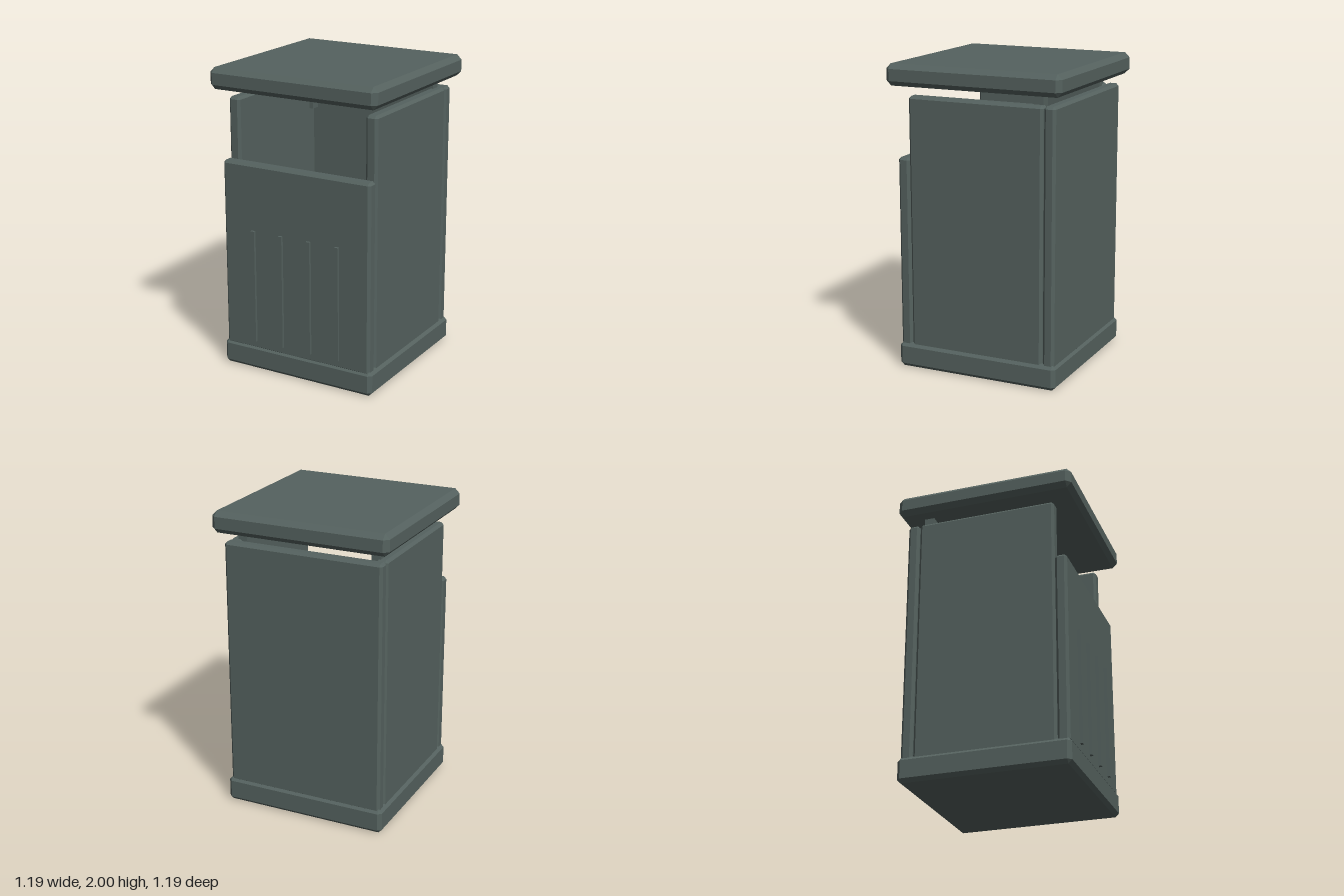
import * as THREE from 'three';
import { ConvexGeometry } from 'three/addons/geometries/ConvexGeometry.js';

const material = new THREE.MeshStandardMaterial({ color: 0x55625f, flatShading: true });

// Box between two corners with every edge cut at 45 degrees by c
function chamferedBox(name, min, max, c) {
  const lo = new THREE.Vector3(...min), hi = new THREE.Vector3(...max);
  const h = hi.clone().sub(lo).multiplyScalar(0.5);
  const points = [];
  for (const x of [-1, 1]) for (const y of [-1, 1]) for (const z of [-1, 1]) {
    points.push(
      new THREE.Vector3(x * h.x, y * (h.y - c), z * (h.z - c)),
      new THREE.Vector3(x * (h.x - c), y * h.y, z * (h.z - c)),
      new THREE.Vector3(x * (h.x - c), y * (h.y - c), z * h.z));
  }
  const mesh = new THREE.Mesh(new ConvexGeometry(points), material);
  mesh.position.copy(lo).add(hi).multiplyScalar(0.5);
  mesh.name = name;
  return mesh;
}

function plainBox(name, min, max) {
  const [w, h, d] = max.map((v, i) => v - min[i]);
  const mesh = new THREE.Mesh(new THREE.BoxGeometry(w, h, d), material);
  mesh.position.set(...max.map((v, i) => (v + min[i]) / 2));
  mesh.name = name;
  return mesh;
}

export function createModel() {
  const bin = new THREE.Group();
  bin.name = 'litterBin';

  // Plinth and overhanging lid
  bin.add(chamferedBox('base', [-0.555, 0, -0.555], [0.555, 0.165, 0.555], 0.024));
  bin.add(chamferedBox('lid', [-0.597, 1.86, -0.597], [0.597, 2, 0.597], 0.032));

  // Low front panel leaves the opening; back panel is full height
  bin.add(chamferedBox('frontPanel', [-0.537, 0.14, 0.465], [0.537, 1.4, 0.545], 0.017));
  bin.add(chamferedBox('backPanel', [-0.537, 0.14, -0.54], [0.537, 1.797, -0.462], 0.017));

  // Side panels and the rear posts that carry the lid
  for (const [side, s] of [['left', 1], ['right', -1]]) {
    const span = (a, b) => (s > 0 ? [a, b] : [-b, -a]);
    const [p0, p1] = span(0.455, 0.537);
    bin.add(chamferedBox(side + 'Panel', [p0, 0.14, -0.458], [p1, 1.797, 0.465], 0.017));
    const [q0, q1] = span(0.425, 0.488);
    bin.add(plainBox(side + 'LidPost', [q0, 1.555, -0.443], [q1, 1.88, -0.378]));
  }

  // Raised ribs on the front
  for (let i = 0; i < 4; i++) {
    const x = -0.311 + i * 0.2065;
    bin.add(plainBox('frontRib' + (i + 1), [x - 0.014, 0.2, 0.53], [x + 0.014, 0.96, 0.563]));
  }
  return bin;
}
